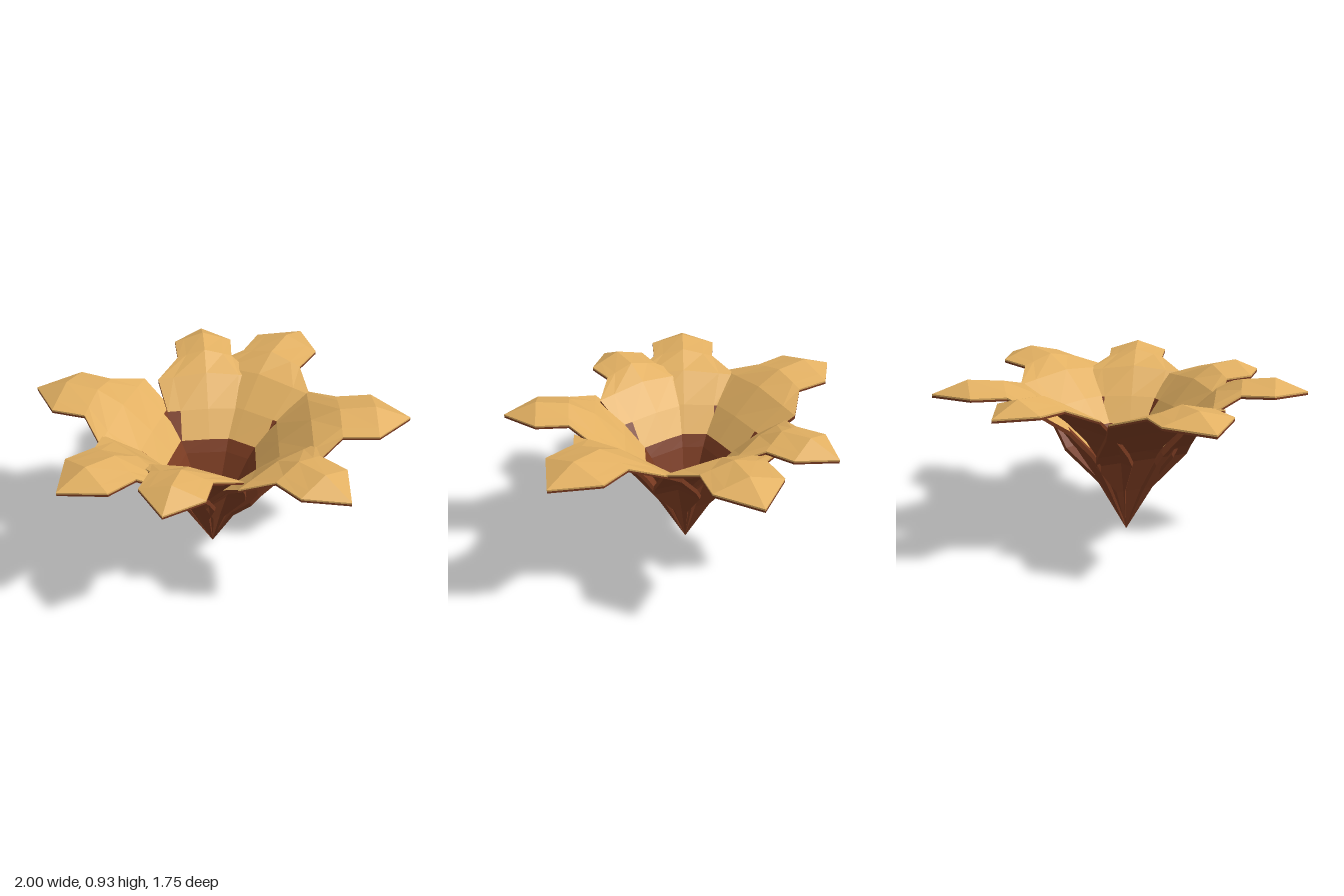
import * as THREE from 'three';

const petalYellow = new THREE.MeshStandardMaterial({ color: 0xe2b062, flatShading: true });
petalYellow.name = 'petal yellow';
const barkBrown = new THREE.MeshStandardMaterial({ color: 0x7a3b21, flatShading: true });
barkBrown.name = 'bark brown';

// Petal stations from base to tip: radius, height, half width, droop of the side edges
const rows = [
  [0, 0.02, 0, 0],
  [0.105, 0.295, 0.11, 0],
  [0.2, 0.5, 0.275, 0],
  [0.24, 0.565, 0.28, 0.005],
  [0.36, 0.7, 0.28, 0.01],
  [0.53, 0.845, 0.335, 0.035],
  [0.68, 0.915, 0.19, 0.045],
  [0.87, 0.93, 0.2, 0.055],
  [1.06, 0.86, 0, 0],
];
const columns = [-1, -0.68, 0, 0.68, 1];
const last = columns.length - 1;
const cupRow = 3;    // the inside is brown below this station
const flankRow = 4;  // the flanks inside stay brown up to this station
const flareRow = 5;  // the free, spreading blade starts here

// Angle in degrees (from +x towards +z), length scale, width scale
const petals = [
  [5, 1, 1], [52, 0.93, 0.84], [111, 0.8, 0.86], [145, 0.93, 0.92],
  [202.5, 0.96, 1], [271, 0.905, 0.82], [305, 1.005, 0.96],
];

function surface(name, quads, material) {
  const pos = [];
  for (const [a, b, c, d] of quads) pos.push(...a, ...b, ...c, ...a, ...c, ...d);
  const geo = new THREE.BufferGeometry();
  geo.setAttribute('position', new THREE.Float32BufferAttribute(pos, 3));
  geo.computeVertexNormals();
  const mesh = new THREE.Mesh(geo, material);
  mesh.name = name;
  return mesh;
}

function makePetal(length, width) {
  // Sheets of points; the steep lower part is also offset outwards
  const sheet = (dr, dy) => rows.map(([r, y, w, droop], i) =>
    columns.map((s) => [
      r * length + (i > 0 && i < flareRow ? dr : 0),
      y + dy - Math.abs(s) * droop,
      s * w * width,
    ]));
  const top = sheet(0, 0);
  const middle = sheet(0.005, -0.009);
  const under = sheet(0.011, -0.02);
  const cup = [], face = [], back = [];

  const addRims = (list, upper, lower, i) => {
    list.push([upper[i][0], upper[i + 1][0], lower[i + 1][0], lower[i][0]]);
    list.push([upper[i][last], lower[i][last], lower[i + 1][last], upper[i + 1][last]]);
  };

  for (let i = 0; i < rows.length - 1; i++) {
    for (let j = 0; j < last; j++) {
      const flank = (j === 0 || j === last - 1) && i < flankRow;
      (i < cupRow || flank ? cup : face)
        .push([top[i][j], top[i][j + 1], top[i + 1][j + 1], top[i + 1][j]]);
      back.push([under[i][j], under[i + 1][j], under[i + 1][j + 1], under[i][j + 1]]);
    }
    // Rims: two-tone on the free blade, brown below
    addRims(i < flareRow ? back : face, top, middle, i);
    addRims(back, middle, under, i);
  }
  const petal = new THREE.Group();
  petal.name = 'petal';
  petal.add(
    surface('petalFace', face, petalYellow),
    surface('petalCup', cup, barkBrown),
    surface('petalBack', back, barkBrown),
  );
  return petal;
}

export function createModel() {
  const flower = new THREE.Group();
  flower.name = 'flower';
  for (const [angle, length, width] of petals) {
    const petal = makePetal(length, width);
    petal.position.set(-0.06, 0, 0.08);
    petal.rotation.y = -THREE.MathUtils.degToRad(angle);
    flower.add(petal);
  }
  return flower;
}
